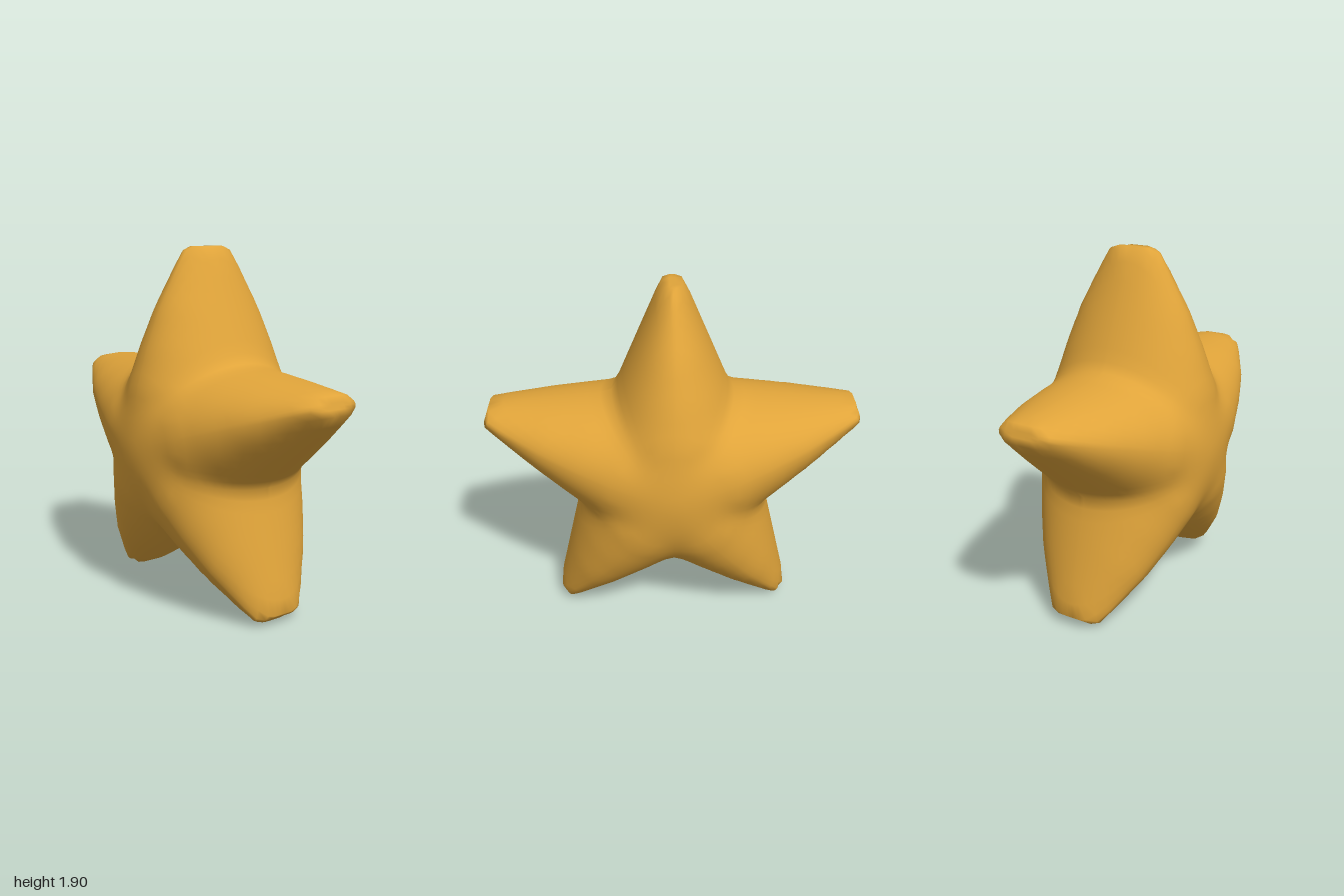
import * as THREE from 'three';

const ARMS = 5, CENTRE_Y = 0.882, TIP = 1.035;
const STEP = (Math.PI * 2) / ARMS;

// Half thickness (front to back) at distances along an arm
const THICKNESS = [[0, 0.46], [0.18, 0.46], [0.32, 0.45], [0.52, 0.388], [0.72, 0.31], [0.94, 0.192], [1.05, 0.125]];
function halfThickness(d) {
  for (let i = 1; i < THICKNESS.length; i++) {
    const [d0, h0] = THICKNESS[i - 1], [d1, h1] = THICKNESS[i];
    if (d <= d1) return h0 + ((h1 - h0) * (d - d0)) / (d1 - d0);
  }
  return 0.125;
}

// One tapering elliptical arm; negative inside
function armField(along, across, z) {
  const d = THREE.MathUtils.clamp(along, 0, 1.05);
  const back = Math.min(along, 0) / 0.5;
  const g = (across / (0.496 - 0.42 * d)) ** 2 + (z / halfThickness(d)) ** 2 + back * back - 1;
  return Math.max(g, (along - TIP) * 20); // blunt tip
}

// Five arms melted together with a soft union
function starField(x, y, z) {
  const k = 0.08;
  let sum = 0;
  for (let i = 0; i < ARMS; i++) {
    const a = Math.PI / 2 + i * STEP, c = Math.cos(a), s = Math.sin(a);
    sum += Math.exp(-armField(x * c + y * s, y * c - x * s, z) / k);
  }
  return -k * Math.log(sum);
}

// Surface point along a direction from the centre
function surfacePoint(dir) {
  let lo = 0.2, hi = 1.3;
  for (let i = 0; i < 26; i++) {
    const r = (lo + hi) / 2;
    if (starField(dir.x * r, dir.y * r, dir.z * r) < 0) lo = r; else hi = r;
  }
  return dir.multiplyScalar(lo);
}

function starGeometry() {
  const half = 10, cols = ARMS * half * 2, rings = 20;
  const pos = [], index = [];
  const add = (theta, phi) => {
    const p = surfacePoint(new THREE.Vector3(
      Math.cos(phi) * Math.cos(theta), Math.cos(phi) * Math.sin(theta), Math.sin(phi)));
    pos.push(p.x, p.y + CENTRE_Y, p.z);
  };
  // Rings from back to front, with columns and rings packed towards the tips
  for (let i = -rings + 1; i < rings; i++) {
    const phi = Math.sign(i) * (Math.PI / 2) * Math.abs(i / rings) ** 1.5;
    for (let arm = 0; arm < ARMS; arm++) {
      for (let j = -half; j < half; j++) {
        const t = j / half;
        add(Math.PI / 2 + arm * STEP + Math.sign(t) * (STEP / 2) * Math.abs(t) ** 1.6, phi);
      }
    }
  }
  const rows = rings * 2 - 1, back = rows * cols, front = back + 1;
  add(0, -Math.PI / 2);
  add(0, Math.PI / 2);
  for (let j = 0; j < cols; j++) {
    const n = (j + 1) % cols, last = (rows - 1) * cols;
    for (let i = 0; i < rows - 1; i++) {
      const a = i * cols + j, b = i * cols + n;
      index.push(a, b, b + cols, a, b + cols, a + cols);
    }
    index.push(back, n, j, front, last + j, last + n);
  }
  const geo = new THREE.BufferGeometry();
  geo.setAttribute('position', new THREE.Float32BufferAttribute(pos, 3));
  geo.setIndex(index);
  geo.computeVertexNormals();
  return geo;
}

export function createModel() {
  const gold = new THREE.MeshStandardMaterial({ color: 0xe0a43a });
  gold.name = 'gold';
  const star = new THREE.Mesh(starGeometry(), gold);
  star.name = 'puffyStar';
  const group = new THREE.Group();
  group.name = 'star';
  group.add(star);
  return group;
}
